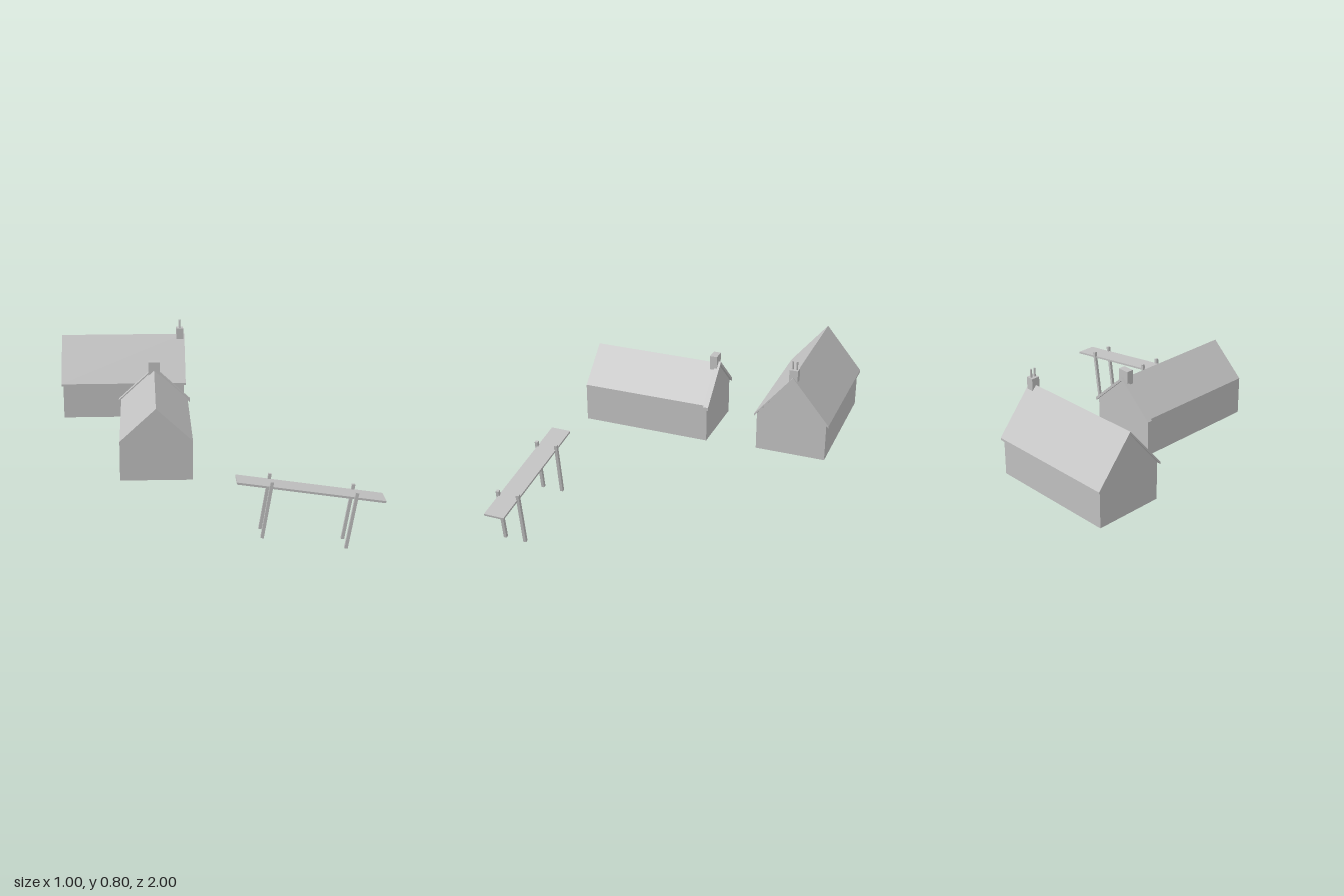
import * as THREE from 'three';

const grey = new THREE.MeshStandardMaterial({ color: 0xc0c0c0, side: THREE.DoubleSide });
grey.name = 'plainGrey';

function add(parent, name, geometry, x = 0, y = 0, z = 0) {
  const mesh = new THREE.Mesh(geometry, grey);
  mesh.name = name;
  mesh.position.set(x, y, z);
  parent.add(mesh);
  return mesh;
}

function placed(name, x, z, turn) {
  const group = new THREE.Group();
  group.name = name;
  group.position.set(x, 0, z);
  group.rotation.y = turn;
  return group;
}

// Open strip: a (z, y) profile swept along x, one flat quad per segment
function strip(profile, length) {
  const h = length / 2, pos = [];
  for (let i = 0; i < profile.length - 1; i++) {
    const [z0, y0] = profile[i], [z1, y1] = profile[i + 1];
    pos.push(-h, y0, z0, h, y0, z0, h, y1, z1, -h, y0, z0, h, y1, z1, -h, y1, z1);
  }
  const g = new THREE.BufferGeometry();
  g.setAttribute('position', new THREE.Float32BufferAttribute(pos, 3));
  g.computeVertexNormals();
  return g;
}

// Hollow house shell without a floor; the ridge runs along x
function houseShell(group, length, half, base, eave, ridge, withRoof) {
  add(group, 'frontWall', strip([[half, base], [half, eave]], length));
  add(group, 'backWall', strip([[-half, eave], [-half, base]], length));
  if (withRoof) add(group, 'roof', strip([[half, eave], [0, ridge], [-half, eave]], length));
  const gable = new THREE.Shape([[-half, base], [half, base], [half, eave], [0, ridge], [-half, eave]]
    .map(([x, y]) => new THREE.Vector2(x, y)));
  for (const side of [-1, 1]) {
    add(group, 'gableWall', new THREE.ShapeGeometry(gable), side * length / 2).rotation.y = side * Math.PI / 2;
  }
}

// Solid inverted V with vertical thickness, running along x
function chevron(length, half, eave, ridge, thick) {
  const shape = new THREE.Shape([[-half, eave], [-half, eave - thick], [0, ridge - thick],
    [half, eave - thick], [half, eave], [0, ridge]].map(([x, y]) => new THREE.Vector2(x, y)));
  return new THREE.ExtrudeGeometry(shape, { depth: length, bevelEnabled: false })
    .translate(0, 0, -length / 2).rotateY(Math.PI / 2);
}

export function createModel() {
  const model = new THREE.Group();
  model.name = 'cottagesAndTrestle';

  // Low cottage with a raised coping and chimney on its rear gable
  const low = placed('lowCottage', -0.18, 0.035, 0.946);
  houseShell(low, 0.641, 0.169, 0.31, 0.5, 0.657, true);
  add(low, 'gableCoping', chevron(0.025, 0.181, 0.497, 0.665, 0.016), 0.319);
  add(low, 'chimney', new THREE.BoxGeometry(0.036, 0.07, 0.058), 0.302, 0.665, 0);
  model.add(low);

  // Tall cottage with a thin overhanging roof
  const tall = placed('tallCottage', 0.124, -0.659, -0.618);
  houseShell(tall, 0.638, 0.17, 0.317, 0.506, 0.714, false);
  add(tall, 'roof', chevron(0.656, 0.1825, 0.505, 0.725, 0.011));
  add(tall, 'chimney', new THREE.BoxGeometry(0.037, 0.06, 0.041), 0.303, 0.73, 0);
  for (const side of [-1, 1]) {
    add(tall, 'chimneyPot', new THREE.CylinderGeometry(0.005, 0.005, 0.042, 8), 0.303, 0.78, side * 0.01);
  }
  model.add(tall);

  // Sloping plank on four posts
  const trestle = placed('trestle', 0.175, 0.755, -0.63);
  trestle.position.y = 0.28;
  trestle.rotation.z = -0.145;
  add(trestle, 'plank', new THREE.BoxGeometry(0.695, 0.01, 0.1));
  for (const x of [-0.19, 0.206]) {
    for (const side of [-1, 1]) {
      add(trestle, 'post', new THREE.BoxGeometry(0.015, 0.28, 0.015), x, -0.11, side * 0.052);
    }
  }
  model.add(trestle);

  return model;
}
